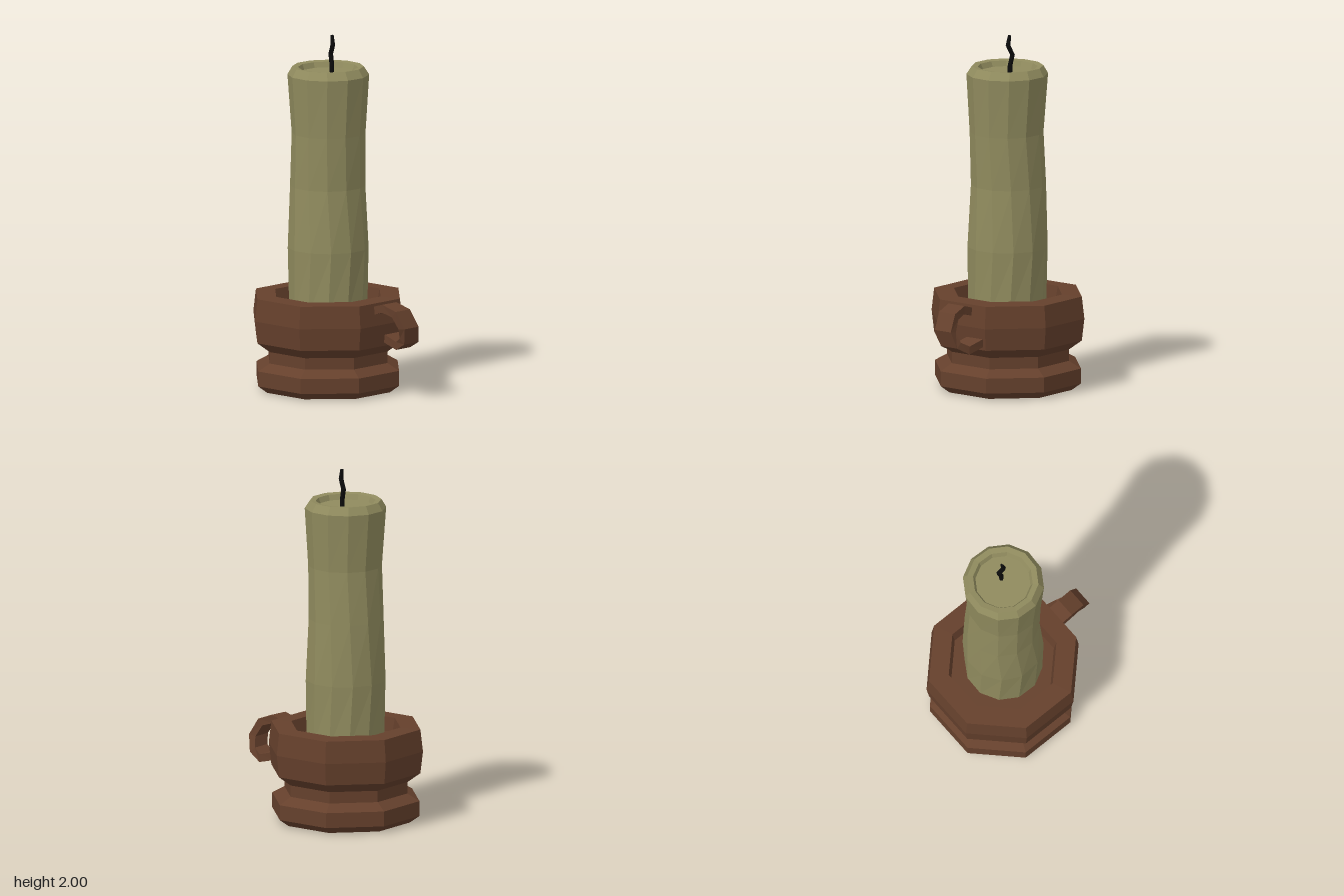
import * as THREE from 'three';

const CENTER_Z = -0.065;

// Skin a closed surface over rings of points (counter-clockwise seen from the path's end).
function loft(rings) {
  const n = rings[0].length;
  const pos = [];
  const tri = (a, b, c) => [a, b, c].forEach((p) => pos.push(p.x, p.y, p.z));
  const middle = (ring) => ring.reduce((s, p) => s.add(p), new THREE.Vector3()).divideScalar(n);
  for (let k = 0; k < rings.length - 1; k++) {
    for (let i = 0; i < n; i++) {
      const j = (i + 1) % n;
      tri(rings[k][i], rings[k][j], rings[k + 1][j]);
      tri(rings[k][i], rings[k + 1][j], rings[k + 1][i]);
    }
  }
  const first = rings[0], last = rings[rings.length - 1];
  const c0 = middle(first), c1 = middle(last);
  for (let i = 0; i < n; i++) {
    const j = (i + 1) % n;
    tri(c0, first[j], first[i]);
    tri(c1, last[i], last[j]);
  }
  const geo = new THREE.BufferGeometry();
  geo.setAttribute('position', new THREE.Float32BufferAttribute(pos, 3));
  geo.computeVertexNormals();
  return geo;
}

// Horizontal polygon ring
function ring(sides, r, y, x = 0, z = CENTER_Z, turn = 0) {
  return Array.from({ length: sides }, (_, i) => {
    const t = (i / sides) * Math.PI * 2 + turn;
    return new THREE.Vector3(x + r * Math.sin(t), y, z + r * Math.cos(t));
  });
}

// Rectangular strap following a path, its width along a fixed direction
function strap(path, across, width, thickness) {
  return loft(path.map((p, i) => {
    const t = path[Math.min(i + 1, path.length - 1)].clone().sub(path[Math.max(i - 1, 0)]).normalize();
    const v = t.clone().cross(across).normalize();
    return [[1, 1], [-1, 1], [-1, -1], [1, -1]].map(([a, b]) =>
      p.clone().addScaledVector(across, (a * width) / 2).addScaledVector(v, (b * thickness) / 2));
  }));
}

export function createModel() {
  const group = new THREE.Group();
  const mat = (color) => new THREE.MeshStandardMaterial({ color, flatShading: true });
  const clay = mat(0x65402c), wax = mat(0x908b5e), black = mat(0x0b0b0b);
  const add = (name, geo, material) => {
    const mesh = new THREE.Mesh(geo, material);
    mesh.name = name;
    group.add(mesh);
  };

  // Octagonal holder: foot, neck, bowl, rim and sunken floor as [radius, y]
  const holder = [
    [0.37, 0], [0.425, 0.04], [0.425, 0.125], [0.355, 0.165], [0.355, 0.23],
    [0.43, 0.285], [0.445, 0.41], [0.43, 0.535], [0.315, 0.54], [0.3, 0.46],
  ];
  add('holder', loft(holder.map(([r, y]) => ring(8, r, y))), clay);

  // Twelve-sided candle, slightly waisted and twisted, with a recessed top: [radius, y, x, z, turn]
  const candle = [
    [0.218, 0.45, 0, -0.06, 0.1], [0.226, 0.8, 0, -0.062, 0.18], [0.21, 1.15, 0, -0.068, 0.1],
    [0.206, 1.45, 0, -0.056, 0.06], [0.228, 1.78, 0, -0.06, 0.08], [0.2, 1.825, 0, -0.063, 0.08],
    [0.168, 1.82, 0, -0.063, 0.08], [0.155, 1.79, 0, -0.063, 0.08],
  ];
  add('candle', loft(candle.map(([r, y, x, z, turn]) => ring(12, r, y, x, z, turn))), wax);

  // Crooked wick: [y, z]
  const wick = [[1.77, -0.065], [1.83, -0.065], [1.89, -0.08], [1.945, -0.052], [2, -0.062]];
  add('wick', loft(wick.map(([y, z], i) => ring(5, i === 4 ? 0.01 : 0.014, y, 0.023, z))), black);

  // Finger loop on the front left of the bowl
  const loop = [
    [0.155, 0.49, 0.28], [0.185, 0.515, 0.36], [0.225, 0.49, 0.43], [0.255, 0.41, 0.468],
    [0.27, 0.335, 0.44], [0.265, 0.3, 0.37], [0.235, 0.33, 0.26],
  ].map((p) => new THREE.Vector3(...p));
  add('handle', strap(loop, new THREE.Vector3(0.92, 0, -0.38).normalize(), 0.115, 0.045), clay);

  return group;
}
